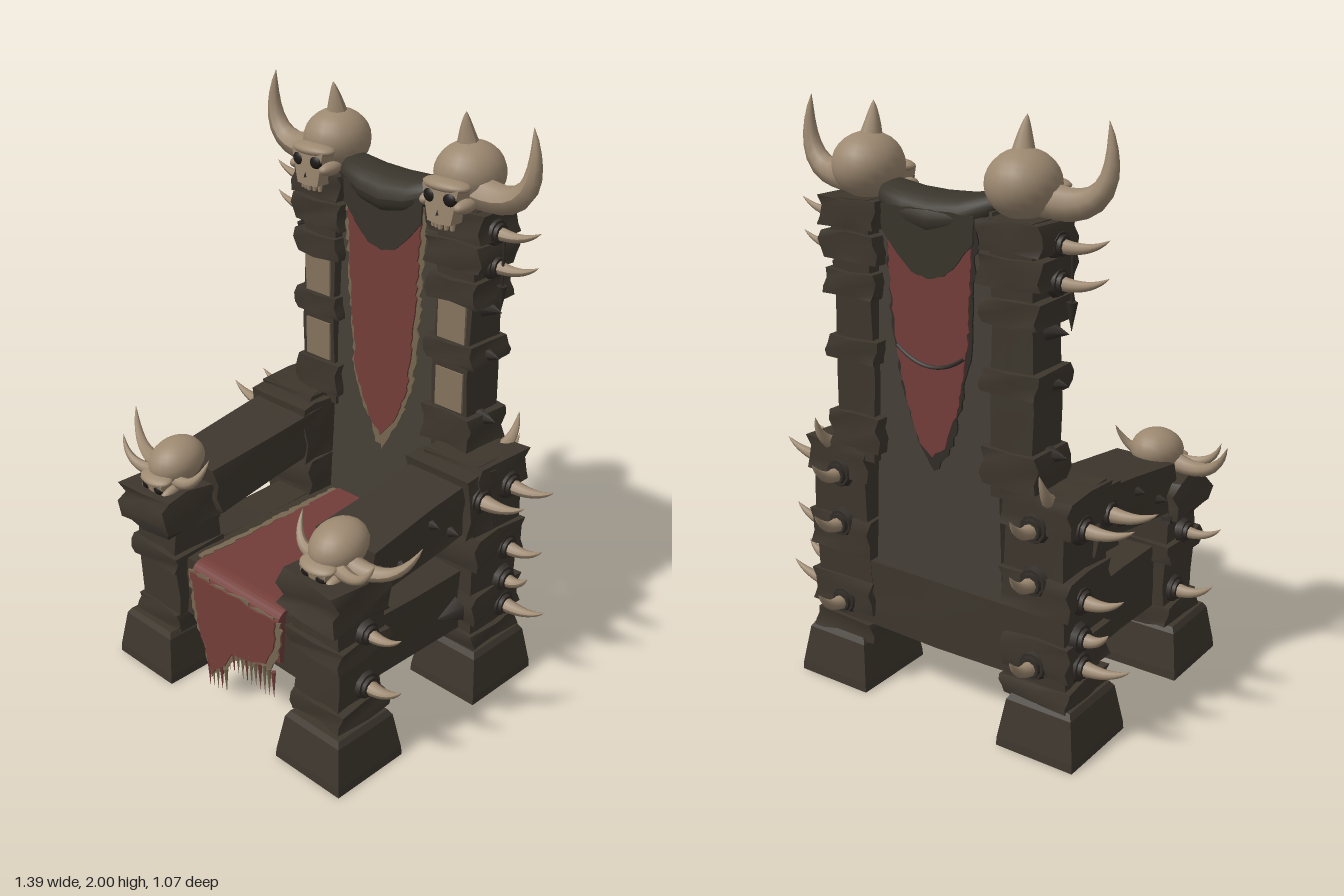
import * as THREE from 'three';

const mat = (name, color, side = THREE.FrontSide) => {
  const m = new THREE.MeshStandardMaterial({ color, side });
  m.name = name;
  return m;
};

export function createModel() {
  const wood = mat('dark wood', 0x3d362d);
  const plank = mat('back plank wood', 0x453f36);
  const iron = mat('dark iron', 0x312c27);
  const leather = mat('leather', 0x38342b);
  const bone = mat('bone', 0x9c8870);
  const pale = mat('pale timber', 0x84735d);
  const red = mat('red cloth', 0x723d39);
  const trim = mat('frayed trim', 0x75664f);
  const hollow = mat('socket black', 0x1d1916);

  const model = new THREE.Group();
  model.name = 'throne';
  let seed = 7;
  const rnd = () => (seed = (seed * 16807) % 2147483647) / 2147483647;
  const V = (x, y, z) => new THREE.Vector3(x, y, z);

  const add = (name, geo, m, x = 0, y = 0, z = 0, parent = model) => {
    const mesh = new THREE.Mesh(geo, m);
    mesh.name = name;
    mesh.position.set(x, y, z);
    parent.add(mesh);
    return mesh;
  };

  // Roughly hewn block: shared corners move together, so it stays closed
  const block = (name, m, x, y, z, w, h, d, rough = 0.012, taper = 1) => {
    const g = new THREE.BoxGeometry(w, h, d, 2, 3, 2), p = g.attributes.position;
    const k = rnd() * 9;
    const n = (a, b, c, q) => Math.sin(a * 91 + b * 57 + c * 73 + k + q) * rough * 0.6;
    for (let i = 0; i < p.count; i++) {
      const a = p.getX(i), b = p.getY(i), c = p.getZ(i);
      const t = 1 + (taper - 1) * (b / h + 0.5);
      p.setXYZ(i, a * t + n(a, b, c, 0), b + n(a, b, c, 2) * 0.6, c * t + n(a, b, c, 4));
    }
    g.computeVertexNormals();
    return add(name, g, m, x, y, z);
  };

  // Curved horn: a tube narrowed to a point
  const horn = (name, a, b, c, r, parent = model, m = bone) => {
    const path = new THREE.QuadraticBezierCurve3(a, b, c), N = 10, R = 8;
    const g = new THREE.TubeGeometry(path, N, r, R, false), p = g.attributes.position, v = V(0, 0, 0);
    for (let i = 0; i <= N; i++) {
      const o = path.getPointAt(i / N), k = Math.pow(1 - i / N, 0.75);
      for (let j = 0; j <= R; j++) {
        const q = i * (R + 1) + j;
        v.fromBufferAttribute(p, q).sub(o).multiplyScalar(Math.max(k, 0.01)).add(o);
        p.setXYZ(q, v.x, v.y, v.z);
      }
    }
    g.computeVertexNormals();
    return add(name, g, m, 0, 0, 0, parent);
  };

  const ellipsoid = (name, m, x, y, z, a, b, c, parent) =>
    add(name, new THREE.SphereGeometry(1, 20, 14), m, x, y, z, parent).scale.set(a, b, c);

  // Skull facing +z with a cranium radius near 1
  const skull = (name, x, y, z, sx, sy, sz, tilt = 0) => {
    const g = new THREE.Group();
    g.name = name;
    g.position.set(x, y, z);
    g.scale.set(sx, sy, sz);
    g.rotation.x = tilt;
    model.add(g);
    ellipsoid('cranium', bone, 0, 0.05, -0.05, 0.98, 0.9, 1.05, g);
    const face = new THREE.BoxGeometry(1.25, 1, 1, 2, 2, 2), p = face.attributes.position;
    for (let i = 0; i < p.count; i++) {
      const low = 0.5 - p.getY(i);
      p.setX(i, p.getX(i) * (1 - 0.35 * low));
      if (p.getX(i) === 0 && p.getZ(i) > 0.4) p.setZ(i, 0.58);
    }
    face.computeVertexNormals();
    add('face', face, bone, 0, -0.6, 0.7, g);
    ellipsoid('brow', bone, 0, -0.08, 0.92, 0.78, 0.2, 0.42, g);
    for (const s of [-1, 1]) {
      ellipsoid('cheekbone', bone, s * 0.6, -0.58, 0.85, 0.22, 0.2, 0.42, g);
      ellipsoid('eyeSocket', hollow, s * 0.34, -0.38, 1.18, 0.23, 0.2, 0.12, g);
    }
    add('noseHole', new THREE.ConeGeometry(0.15, 0.32, 3), hollow, 0, -0.7, 1.2, g);
    for (let i = -2; i <= 2; i++)
      add('tooth', new THREE.CylinderGeometry(0.09, 0.06, 0.26, 6), bone, i * 0.17, -1.15, 1.12 - Math.abs(i) * 0.05, g);
    return g;
  };

  // Horn on a round iron mount; d is the outward direction
  const spike = (x, y, z, d, len, r = 0.026, lift = 0.04) => {
    const base = V(x, y, z);
    for (const [rad, h] of [[r * 1.9, 0.02], [r * 1.45, 0.045]])
      add('spikeMount', new THREE.CylinderGeometry(rad * 0.85, rad, h, 10), iron, x, y, z)
        .quaternion.setFromUnitVectors(V(0, 1, 0), d);
    const mid = base.clone().addScaledVector(d, len * 0.6).add(V(0, -0.015, 0));
    horn('spike', base, mid, base.clone().addScaledVector(d, len).add(V(0, lift, 0)), r);
  };
  const stud = (x, y, z, s, r = 0.025, h = 0.05) => {
    add('stud', new THREE.ConeGeometry(r, h, 6), iron, x, y, z).rotation.z = -s * Math.PI / 2;
  };

  // Cloth panel with ragged edges
  const cloth = (name, pts, m, z, rag, depth = 0.006) => {
    const out = [];
    pts.forEach(([x, y], i) => {
      const [u, v] = pts[(i + 1) % pts.length];
      const n = Math.max(1, Math.round(Math.hypot(u - x, v - y) / 0.02));
      for (let k = 0; k < n; k++) {
        const j = k ? (rnd() - 0.5) * rag : 0;
        out.push(new THREE.Vector2(x + (u - x) * k / n + j, y + (v - y) * k / n + j));
      }
    });
    return add(name, new THREE.ExtrudeGeometry(new THREE.Shape(out), { depth, bevelEnabled: false }), m, 0, 0, z);
  };
  const mirrored = (half, grow = 0) => {
    const h = half.map(([x, y]) => [x + (x ? grow : 0), x ? y : y - grow * 4]);
    return [...h, ...h.filter(q => q[0] > 0).reverse().map(([x, y]) => [-x, y])];
  };

  // Seat and rear rail
  block('seat', wood, 0, 0.365, 0.07, 0.64, 0.23, 0.72, 0.008);
  block('rearRail', wood, 0, 0.36, -0.31, 0.62, 0.24, 0.15, 0.01);

  // Tapered back panel
  block('backPanel', plank, 0, 1.09, -0.315, 0.52, 1.26, 0.12, 0.004, 0.8);

  // Banners on both faces of the back
  const frontHalf = [[0.165, 1.68], [0.145, 1.3], [0.12, 1.02], [0.06, 0.88], [0, 0.81]];
  const backHalf = [[0.165, 1.68], [0.14, 1.3], [0.1, 1.1], [0.05, 0.96], [0, 0.92]];
  cloth('frontBannerTrim', mirrored(frontHalf, 0.016), trim, -0.25, 0.02);
  cloth('frontBanner', mirrored(frontHalf), red, -0.242, 0.012);
  cloth('backBannerTrim', mirrored(backHalf, 0.012), iron, -0.386, 0.016);
  cloth('backBanner', mirrored(backHalf), red, -0.394, 0.01);
  add('backBannerSeam', new THREE.TubeGeometry(new THREE.QuadraticBezierCurve3(
    V(-0.13, 1.27, -0.394), V(0, 1.17, -0.396), V(0.13, 1.27, -0.394)), 12, 0.007, 5), iron);

  // Leather roll over the top, sagging in the middle, with a flap on each face
  const rollPts = [[0, -0.2], [0.072, -0.2], [0.095, -0.1], [0.104, 0], [0.095, 0.1], [0.072, 0.2], [0, 0.2]];
  const roll = new THREE.LatheGeometry(rollPts.map(q => new THREE.Vector2(...q)), 24);
  roll.rotateZ(-Math.PI / 2);
  const rp = roll.attributes.position;
  for (let i = 0; i < rp.count; i++) {
    const x = rp.getX(i);
    rp.setY(i, rp.getY(i) * 0.72 + x * x * 1.1);
  }
  roll.computeVertexNormals();
  add('topRoll', roll, leather, 0, 1.68, -0.31);
  const flap = mirrored([[0.175, 1.71], [0.172, 1.63], [0.12, 1.57], [0.06, 1.515], [0, 1.5]]);
  cloth('frontFlap', flap, leather, -0.232, 0.006);
  cloth('backFlap', flap, leather, -0.404, 0.006);

  // Seat cloth, rounded over the front edge and hanging in tatters
  const side = new THREE.Shape();
  side.moveTo(-0.25, 0.475);
  side.lineTo(0.43, 0.475);
  side.lineTo(0.445, 0.3);
  side.lineTo(0.46, 0.3);
  side.lineTo(0.47, 0.44);
  side.quadraticCurveTo(0.47, 0.495, 0.41, 0.5);
  side.lineTo(-0.25, 0.505);
  const seatGeo = new THREE.ExtrudeGeometry(side, { depth: 0.43, bevelEnabled: false, curveSegments: 8 });
  seatGeo.rotateY(-Math.PI / 2);
  add('seatCloth', seatGeo, red, 0.215, 0, 0);
  const hang = [[-0.21, 0.47], [-0.19, 0.33], [-0.145, 0.17], [-0.12, 0.09], [-0.1, 0.12], [-0.05, 0.16],
    [-0.01, 0.23], [0.08, 0.25], [0.16, 0.28], [0.2, 0.36], [0.21, 0.47]];
  cloth('hangingCloth', hang, red, 0.472, 0.015);
  cloth('hangingTrim', hang.map(([x, y]) => [x * 1.09, y < 0.4 ? y - 0.022 : y]), trim, 0.464, 0.025);
  for (let i = 0; i < 16; i++) {
    const x = -0.14 + i * 0.022, y = x < -0.04 ? 0.13 : 0.24;
    add('tatter', new THREE.ConeGeometry(0.011, 0.09 + rnd() * 0.05, 4), i % 3 ? trim : red, x, y - 0.035, 0.468).rotation.x = Math.PI;
  }
  for (const s of [-1, 1]) {
    cloth('seatClothTrim', [[s * 0.21, -0.42], [s * 0.232, -0.42], [s * 0.232, 0.24], [s * 0.21, 0.24]], trim, 0, 0.012)
      .rotation.x = -Math.PI / 2;
    model.children.at(-1).position.set(0, 0.498, 0);
  }

  // Square flared feet, hollow underneath
  const footPts = [[0, 0.09], [0.115, 0], [0.145, 0], [0.143, 0.03], [0.122, 0.165], [0.11, 0.185], [0, 0.185]];
  const foot = new THREE.LatheGeometry(footPts.map(([x, y]) => new THREE.Vector2(x * Math.SQRT2, y)), 4, Math.PI / 4).toNonIndexed();
  foot.computeVertexNormals();

  for (const s of [-1, 1]) {
    const out = V(s, 0, 0), back = V(0, 0, -1);
    add('frontFoot', foot, wood, s * 0.415, 0, 0.39).scale.set(1, 1, 1.03);
    add('backFoot', foot, wood, s * 0.42, 0, -0.28).scale.set(1, 1, 1.1);

    // Front post with bands and a wide cap
    block('frontPost', wood, s * 0.39, 0.4, 0.37, 0.2, 0.46, 0.2);
    block('frontPostBand', wood, s * 0.395, 0.46, 0.37, 0.235, 0.07, 0.23);
    block('frontPostBase', wood, s * 0.4, 0.22, 0.37, 0.22, 0.07, 0.22);
    block('frontPostCap', wood, s * 0.4, 0.655, 0.395, 0.25, 0.13, 0.25, 0.02, 0.94);
    block('frontPostCollar', iron, s * 0.4, 0.6, 0.39, 0.22, 0.05, 0.24);
    spike(s * 0.49, 0.3, 0.34, out, 0.15, 0.028, 0.05);
    spike(s * 0.51, 0.52, 0.36, out, 0.14, 0.024);

    // Side rail and sloping armrest
    block('sideRail', wood, s * 0.37, 0.365, 0.06, 0.15, 0.23, 0.46, 0.008);
    block('armrest', wood, s * 0.37, 0.735, 0.03, 0.24, 0.17, 0.56, 0.01).rotation.x = 0.14;
    block('armrestBand', wood, s * 0.38, 0.76, -0.17, 0.27, 0.22, 0.12);
    for (const [y, z] of [[0.69, 0.2], [0.77, 0.05], [0.7, -0.05]]) stud(s * 0.5, y, z, s);
    const point = add('railPoint', new THREE.ConeGeometry(0.05, 0.1, 6), iron, s * 0.44, 0.33, -0.1);
    point.rotation.x = Math.PI / 2;

    // Back post: thick lower part, slim upper part with bands
    block('lowerBackPost', wood, s * 0.39, 0.53, -0.28, 0.22, 0.72, 0.22);
    for (const [y, h] of [[0.83, 0.12], [0.56, 0.13], [0.34, 0.12], [0.21, 0.07]])
      block('lowerBackBand', wood, s * 0.395, y, -0.28, 0.25, h, 0.245);
    block('upperBackPost', wood, s * 0.305, 1.28, -0.32, 0.15, 0.86, 0.155, 0.008);
    for (const [y, h] of [[0.95, 0.12], [1.225, 0.075], [1.44, 0.08], [1.56, 0.09], [1.665, 0.09]])
      block('upperBackBand', wood, s * 0.305, y, -0.32, 0.2 + (y > 1.5 ? 0.02 : 0), h, 0.19);
    for (const y of [1.09, 1.335])
      add('paleInset', new THREE.BoxGeometry(0.115, 0.14, 0.009), pale, s * 0.305, y, -0.238);
    for (const y of [0.99, 1.22, 1.38]) stud(s * 0.41, y, -0.31, s, 0.035, 0.08);

    // Bone spikes on the back post
    spike(s * 0.51, 0.78, -0.17, out, 0.18, 0.03);
    for (const [y, l] of [[0.78, 0.18], [0.54, 0.15], [0.41, 0.1], [0.31, 0.18]]) spike(s * 0.515, y, -0.32, out, l, 0.028);
    for (const y of [0.78, 0.6, 0.31]) spike(s * 0.39, y, -0.4, back, 0.13, 0.028, 0.07);
    horn('raisedSpike', V(s * 0.43, 0.86, -0.36), V(s * 0.45, 0.89, -0.43), V(s * 0.44, 0.98, -0.45), 0.028);
    for (const [y, l] of [[1.64, 0.17], [1.53, 0.17]]) spike(s * 0.41, y, -0.31, out, l, 0.025, 0.035);

    // Hanging fang charm
    add('charmCord', new THREE.CylinderGeometry(0.005, 0.005, 0.17, 5), iron, s * 0.45, 1.545, -0.3);
    add('charmFang', new THREE.ConeGeometry(0.018, 0.09, 6), iron, s * 0.45, 1.43, -0.3).rotation.x = Math.PI;

    // Horned skull on the back post
    skull('topSkull', s * 0.29, 1.8, -0.31, 0.115, 0.115, 0.115);
    horn('crownSpike', V(s * 0.285, 1.88, -0.31), V(s * 0.28, 1.93, -0.3), V(s * 0.285, 2, -0.29), 0.04);
    horn('largeHorn', V(s * 0.36, 1.76, -0.29), V(s * 0.61, 1.72, -0.28), V(s * 0.55, 2, -0.28), 0.058);

    // Horned skull on the front post
    skull('armSkull', s * 0.39, 0.79, 0.37, 0.09, 0.085, 0.1, 0.25);
    horn('outerHorn', V(s * 0.45, 0.76, 0.38), V(s * 0.62, 0.72, 0.36), V(s * 0.68, 0.88, 0.31), 0.035);
    horn('outerTusk', V(s * 0.45, 0.75, 0.42), V(s * 0.57, 0.74, 0.45), V(s * 0.6, 0.84, 0.43), 0.026);
    horn('innerTusk', V(s * 0.34, 0.75, 0.41), V(s * 0.24, 0.74, 0.42), V(s * 0.225, 0.85, 0.36), 0.026);
  }
  return model;
}
